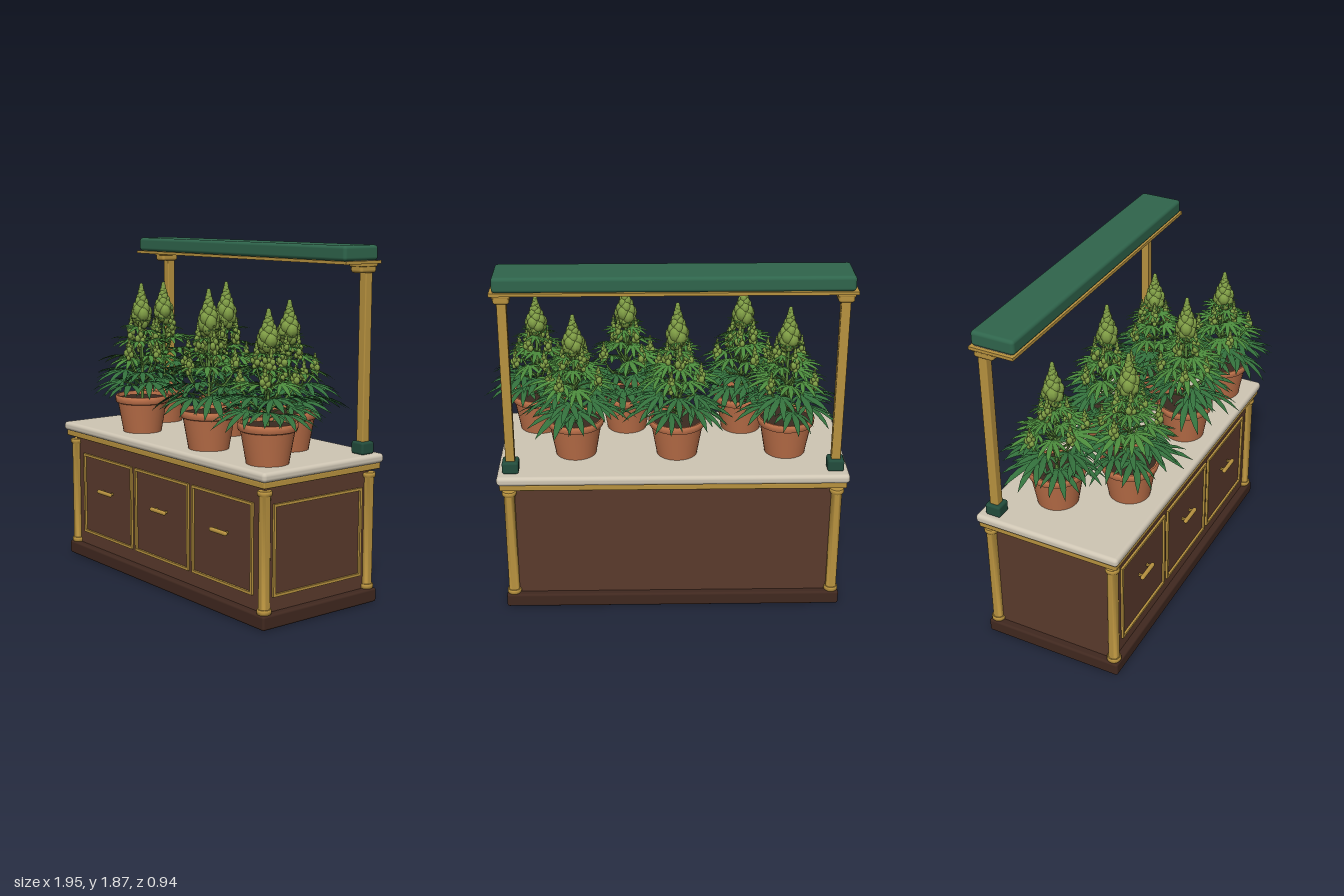
import * as THREE from 'three';
import { mergeGeometries, toCreasedNormals } from 'three/addons/utils/BufferGeometryUtils.js';
import { RoundedBoxGeometry } from 'three/addons/geometries/RoundedBoxGeometry.js';

const mat = (color, side = THREE.FrontSide) => new THREE.MeshStandardMaterial({ color, side });
const wood = mat(0x5a3a2c), darkWood = mat(0x40281f), gold = mat(0xb8923f), stone = mat(0xcfc6b4);
const green = mat(0x2f654c), darkGreen = mat(0x224c3c), clay = mat(0xbd7049), soilMat = mat(0x3a2a20);
const lampMat = mat(0x8f8a7c), budMat = mat(0x7f9d45), stemMat = mat(0x5c8a3c);
const oldLeaf = mat(0x33703c, THREE.DoubleSide), youngLeaf = mat(0x4b8a3c, THREE.DoubleSide);

const CX = -0.06, CZ = -0.056; // middle of the cabinet

function add(parent, name, geo, material, x = 0, y = 0, z = 0) {
  const m = new THREE.Mesh(geo, material);
  m.name = name;
  m.position.set(x, y, z);
  parent.add(m);
  return m;
}
const box = (w, h, d, r = 0) => r ? new RoundedBoxGeometry(w, h, d, 3, r) : new THREE.BoxGeometry(w, h, d);

// strip to position + normal so that any geometries can be merged
function merge(list) {
  return mergeGeometries(list.map(g => {
    const n = g.index ? g.toNonIndexed() : g;
    n.deleteAttribute('uv');
    return n;
  }));
}

function seeded(s) {
  return () => {
    s = (s * 16807) % 2147483647;
    return s / 2147483647;
  };
}

// rectangular moulding with an open middle, facing +z
function frameGeo(w, h, t, depth) {
  const s = new THREE.Shape();
  const rect = (p, a, b) => p.moveTo(-a, -b).lineTo(a, -b).lineTo(a, b).lineTo(-a, b).closePath();
  rect(s, w / 2, h / 2);
  s.holes.push(rect(new THREE.Path(), w / 2 - t, h / 2 - t));
  return new THREE.ExtrudeGeometry(s, { depth, bevelEnabled: false });
}

function cabinet() {
  const g = new THREE.Group();
  g.name = 'cabinet';
  g.position.set(CX, 0, CZ);
  add(g, 'plinth', box(1.8, 0.075, 0.78, 0.012), darkWood, 0, 0.0375);
  add(g, 'body', box(1.72, 0.65, 0.704), wood, 0, 0.395);
  add(g, 'topTrim', box(1.81, 0.032, 0.79, 0.006), gold, 0, 0.733);
  add(g, 'counterTop', box(1.838, 0.05, 0.815, 0.02), stone, 0, 0.773);

  // corner columns with collars
  for (const x of [-0.86, 0.86]) for (const z of [-0.352, 0.352]) {
    const c = new THREE.Group();
    c.name = 'column';
    c.position.set(x, 0, z);
    const profile = [[0, 0.074], [0.034, 0.074], [0.038, 0.08], [0.038, 0.094], [0.034, 0.1], [0.029, 0.1],
      [0.029, 0.672], [0.034, 0.672], [0.038, 0.678], [0.038, 0.692], [0.034, 0.698], [0, 0.698]];
    const geo = new THREE.LatheGeometry(profile.map(p => new THREE.Vector2(...p)), 20);
    add(c, 'shaft', toCreasedNormals(geo, 0.9), gold);
    g.add(c);
  }

  // drawer fronts
  for (const x of [-0.528, 0, 0.528]) {
    add(g, 'drawerFrame', frameGeo(0.498, 0.472, 0.014, 0.012), gold, x, 0.386, 0.352);
    const pull = add(g, 'drawerPull', new THREE.CapsuleGeometry(0.012, 0.116, 4, 10), gold, x, 0.428, 0.38);
    pull.rotation.z = Math.PI / 2;
    for (const s of [-1, 1]) add(g, 'pullMount', box(0.012, 0.012, 0.03), gold, x + s * 0.045, 0.428, 0.365);
  }
  const side = add(g, 'sideFrame', frameGeo(0.6, 0.472, 0.014, 0.012), gold, 0.86, 0.386, 0);
  side.rotation.y = Math.PI / 2;
  return g;
}

function canopy() {
  const g = new THREE.Group();
  g.name = 'lightCanopy';
  g.position.x = CX;
  for (const s of [-1, 1]) {
    add(g, 'postBase', box(0.086, 0.066, 0.086, 0.012), darkGreen, s * 0.847, 0.83, -0.374);
    add(g, 'post', box(0.048, 0.92, 0.048, 0.006), gold, s * 0.847, 1.3, -0.374);
    add(g, 'bracketCap', box(0.082, 0.046, 0.11, 0.015), gold, s * 0.847, 1.75, -0.355);
    add(g, 'bracketPlate', box(0.09, 0.018, 0.115, 0.005), gold, s * 0.847, 1.768, -0.355);
  }
  const frame = add(g, 'canopyTrim', frameGeo(1.81, 0.244, 0.02, 0.016), gold, 0, 1.79, -0.3);
  frame.rotation.x = Math.PI / 2;
  add(g, 'lampPanel', box(1.77, 0.01, 0.204), lampMat, 0, 1.786, -0.3);
  add(g, 'canopyHood', box(1.782, 0.078, 0.236, 0.018), green, 0, 1.828, -0.3);
  return g;
}

// lance-shaped blade along +x, folded at the midrib and arching down
function blade(len, wid, droop) {
  const pos = [], idx = [], widths = [0.12, 0.7, 1, 0.75, 0];
  widths.forEach((w, i) => {
    const t = i / (widths.length - 1), y = -droop * t * t * len, h = w * wid / 2;
    pos.push(t * len, y + h * 0.35, -h, t * len, y, 0, t * len, y + h * 0.35, h);
    if (i) for (const k of [0, 1]) {
      const a = (i - 1) * 3 + k, b = a + 3;
      idx.push(a, a + 1, b, b, a + 1, b + 1);
    }
  });
  const geo = new THREE.BufferGeometry();
  geo.setAttribute('position', new THREE.Float32BufferAttribute(pos, 3));
  geo.setIndex(idx);
  geo.computeVertexNormals();
  return geo;
}

// palm-shaped leaf of seven blades
function fanLeaf(len, droop) {
  const fingers = [[0, 1], [0.45, 0.9], [0.95, 0.7], [1.6, 0.42]], out = [];
  for (const [a, l] of fingers) for (const s of a ? [-1, 1] : [1]) {
    out.push(blade(len * l, len * 0.19 * (0.5 + l / 2), droop).rotateY(a * s));
  }
  return merge(out);
}

// tapering flower spike of overlapping beads
function flowerSpike(h, r, count) {
  const out = [];
  for (let i = 0; i < count; i++) {
    const t = i / (count - 1), a = i * 2.4;
    const env = r * (t < 0.25 ? 0.65 + 1.4 * t : 1 - 0.85 * (t - 0.25) / 0.75);
    const s = env * 0.45 + r * 0.12;
    const ring = env * 0.55 * (1 - t * t);
    out.push(new THREE.SphereGeometry(s, 8, 6).scale(1, 1.25, 1)
      .translate(Math.cos(a) * ring, t * h * 0.95, Math.sin(a) * ring));
  }
  out.push(new THREE.CylinderGeometry(r * 0.25, r * 0.5, h * 0.85, 7).translate(0, h * 0.43, 0));
  return merge(out);
}

function stalk(points, r) {
  const curve = new THREE.CatmullRomCurve3(points.map(p => new THREE.Vector3(...p)));
  return new THREE.TubeGeometry(curve, 4, r, 5);
}

function pottedPlant(x, z, top, seed) {
  const g = new THREE.Group(), rnd = seeded(seed);
  g.name = 'pottedPlant';
  g.position.set(x, 0.797, z);
  const profile = [[0, 0], [0.108, 0], [0.137, 0.165], [0.148, 0.17], [0.151, 0.178], [0.152, 0.202],
    [0.147, 0.209], [0.138, 0.209], [0.133, 0.18]];
  const potGeo = new THREE.LatheGeometry(profile.map(p => new THREE.Vector2(...p)), 32);
  add(g, 'pot', toCreasedNormals(potGeo, 0.7), clay);
  add(g, 'soil', new THREE.CylinderGeometry(0.135, 0.133, 0.02, 32), soilMat, 0, 0.178);

  const plant = new THREE.Group();
  plant.name = 'plant';
  plant.position.y = 0.19;
  plant.scale.y = (top - 0.987) / 0.64;
  g.add(plant);
  const low = [], high = [], buds = [], stems = [stalk([[0, -0.01, 0], [0.003, 0.2, 0], [0, 0.45, 0]], 0.009)];

  // leaf tiers: height, petiole reach, leaf length, count, droop
  const tiers = [[0.09, 0.11, 0.21, 6, 0.38], [0.16, 0.1, 0.19, 6, 0.3], [0.24, 0.09, 0.16, 6, 0.3],
    [0.32, 0.065, 0.13, 6, 0.25], [0.39, 0.04, 0.1, 5, 0.2], [0.44, 0.025, 0.07, 5, 0.1]];
  tiers.forEach(([h, reach, len, n, droop], k) => {
    for (let i = 0; i < n; i++) {
      const a = (i + k * 0.5 + (rnd() - 0.5) * 0.4) / n * Math.PI * 2 + seed;
      const y = h + (rnd() - 0.5) * 0.03, l = len * (0.9 + rnd() * 0.16);
      const leaf = fanLeaf(l, droop).rotateX((rnd() - 0.5) * 0.5).rotateZ((rnd() - 0.4) * 0.3)
        .translate(reach, y, 0).rotateY(a);
      (k < 2 ? low : high).push(leaf);
      stems.push(stalk([[0, y - 0.04, 0], [reach * 0.5, y - 0.01, 0], [reach, y, 0]], 0.004).rotateY(a));
    }
  });

  // side branches with small spikes, then the main spike
  for (const [y, reach, h, n] of [[0.23, 0.135, 0.11, 4], [0.32, 0.065, 0.14, 4]]) {
    for (let i = 0; i < n; i++) {
      const a = (i + rnd() * 0.5) / n * Math.PI * 2 + seed + y * 9;
      const r = reach * (0.9 + rnd() * 0.25), b = y + (rnd() - 0.5) * 0.05;
      buds.push(flowerSpike(h, 0.029, 13).translate(r, b, 0).rotateY(a));
      stems.push(stalk([[0, b - 0.14, 0], [r * 0.7, b - 0.07, 0], [r, b + 0.01, 0]], 0.006).rotateY(a));
    }
  }
  buds.push(flowerSpike(0.22, 0.06, 34).translate(0, 0.42, 0));

  add(plant, 'lowerLeaves', merge(low), oldLeaf);
  add(plant, 'upperLeaves', merge(high), youngLeaf);
  add(plant, 'flowerSpikes', merge(buds), budMat);
  add(plant, 'stems', merge(stems), stemMat);
  return g;
}

export function createModel() {
  const model = new THREE.Group();
  model.name = 'plantStand';
  model.add(cabinet(), canopy());
  // x, z, top height
  const plants = [[-0.665, -0.155, 1.615], [-0.45, 0.15, 1.63], [-0.085, -0.165, 1.645],
    [0.185, 0.165, 1.635], [0.455, -0.155, 1.58], [0.67, 0.17, 1.565]];
  plants.forEach(([x, z, top], i) => model.add(pottedPlant(x, z, top, 11 + i * 37)));
  return model;
}
